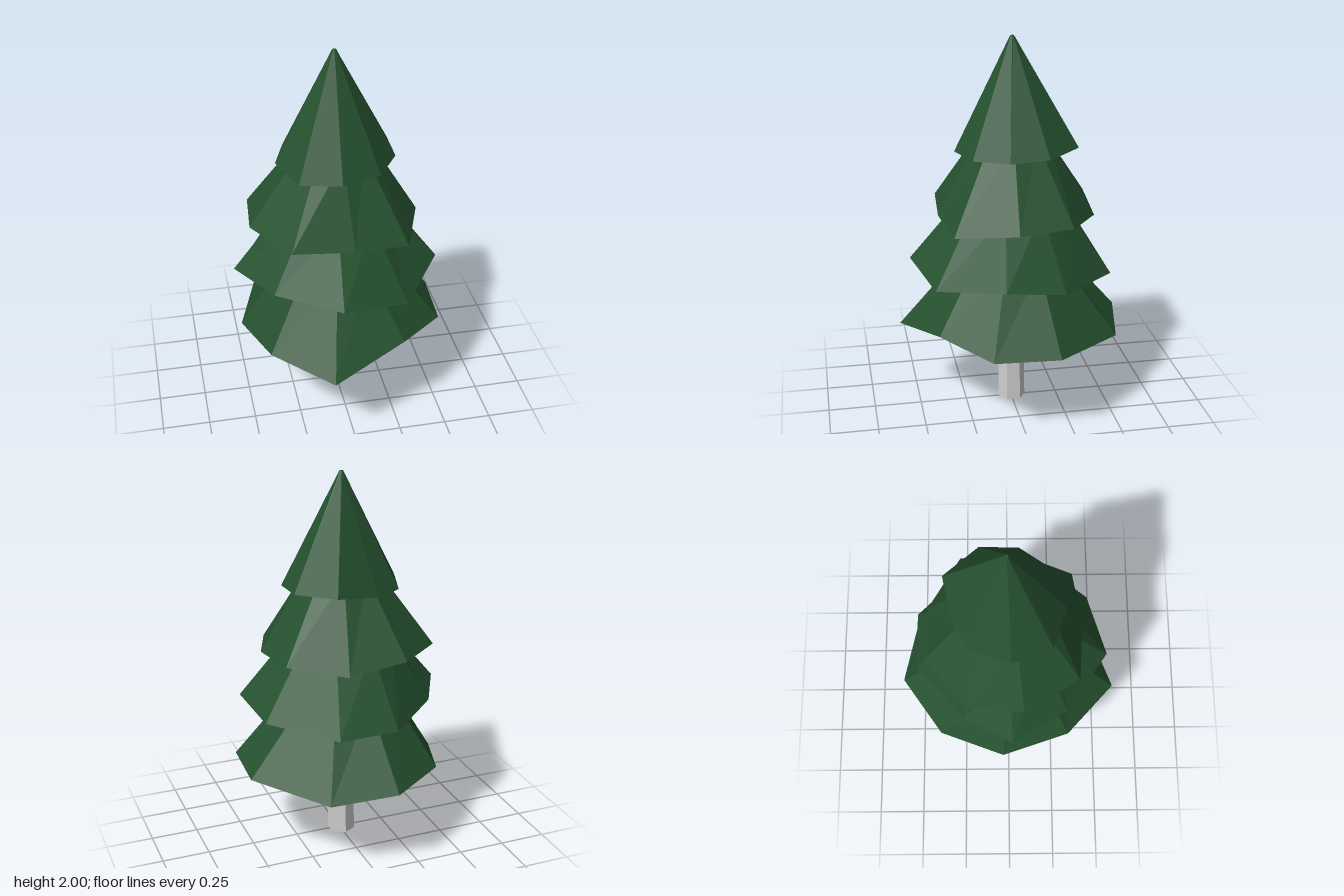
import * as THREE from 'three';

// Each foliage tier: nine uneven rim corners [x, y, z] counter-clockwise from the front,
// then a regular, narrower top ring (radius, height, turn in degrees).
const TIERS = [
  { name: 'bottomFoliage', topRadius: 0.26, topY: 0.85, turn: -8, rim: [
    [-0.12, 0.43, 0.59], [0.28, 0.52, 0.42], [0.53, 0.47, 0.18],
    [0.55, 0.47, -0.16], [0.25, 0.435, -0.52], [-0.09, 0.47, -0.59],
    [-0.4, 0.47, -0.375], [-0.52, 0.43, -0.03], [-0.41, 0.47, 0.33]] },
  { name: 'lowerMiddleFoliage', topRadius: 0.27, topY: 1.15, turn: -7, rim: [
    [-0.065, 0.83, 0.53], [0.285, 0.775, 0.435], [0.515, 0.835, 0.115],
    [0.475, 0.79, -0.195], [0.19, 0.77, -0.495], [-0.12, 0.775, -0.495],
    [-0.41, 0.8, -0.24], [-0.55, 0.825, 0.02], [-0.38, 0.83, 0.31]] },
  { name: 'upperMiddleFoliage', topRadius: 0.18, topY: 1.5, turn: 3, rim: [
    [0.02, 1.085, 0.385], [0.305, 1.06, 0.34], [0.42, 1.09, 0.03],
    [0.38, 1.1, -0.25], [0.11, 1.07, -0.42], [-0.19, 1.115, -0.43],
    [-0.44, 1.1, -0.21], [-0.465, 1.105, 0.08], [-0.295, 1.1, 0.365]] },
  { name: 'topFoliage', topRadius: 0.01, topY: 2, turn: -2, rim: [
    [-0.025, 1.412, 0.29], [0.18, 1.415, 0.225], [0.295, 1.425, 0.055],
    [0.295, 1.435, -0.145], [0.135, 1.445, -0.325], [-0.1, 1.41, -0.275],
    [-0.245, 1.415, -0.195], [-0.315, 1.425, 0.015], [-0.23, 1.4, 0.22]] },
];

const CENTRE = [-0.008, -0.008];

// Closed faceted skirt from a rim up to its top ring
function skirtGeometry({ rim, topRadius, topY, turn }) {
  const n = rim.length;
  const top = rim.map((_, i) => {
    const a = THREE.MathUtils.degToRad(turn + (i * 360) / n);
    return [CENTRE[0] + Math.sin(a) * topRadius, topY, CENTRE[1] + Math.cos(a) * topRadius];
  });
  const meanY = rim.reduce((sum, p) => sum + p[1], 0) / n;
  const under = [CENTRE[0], meanY, CENTRE[1]];
  const over = [CENTRE[0], topY, CENTRE[1]];

  const corners = [];
  for (let i = 0; i < n; i++) {
    const j = (i + 1) % n;
    corners.push(rim[i], rim[j], top[j], rim[i], top[j], top[i]); // sloping side
    corners.push(under, rim[j], rim[i]); // underside
    corners.push(over, top[i], top[j]); // tip
  }
  const geometry = new THREE.BufferGeometry();
  geometry.setAttribute('position', new THREE.Float32BufferAttribute(corners.flat(), 3));
  geometry.computeVertexNormals();
  return geometry;
}

export function createModel() {
  const tree = new THREE.Group();
  tree.name = 'pineTree';

  const foliageGreen = new THREE.MeshStandardMaterial({ color: 0x25512f });
  foliageGreen.name = 'foliageGreen';
  foliageGreen.flatShading = true;
  const trunkGrey = new THREE.MeshStandardMaterial({ color: 0xcfcfcf });
  trunkGrey.name = 'trunkGrey';
  trunkGrey.flatShading = true;

  // Six-sided, slightly tapered trunk
  const trunk = new THREE.Mesh(new THREE.CylinderGeometry(0.063, 0.074, 0.55, 6), trunkGrey);
  trunk.name = 'trunk';
  trunk.position.set(-0.008, 0.275, -0.004);
  tree.add(trunk);

  // Stacked foliage
  for (const tier of TIERS) {
    const skirt = new THREE.Mesh(skirtGeometry(tier), foliageGreen);
    skirt.name = tier.name;
    tree.add(skirt);
  }
  return tree;
}
